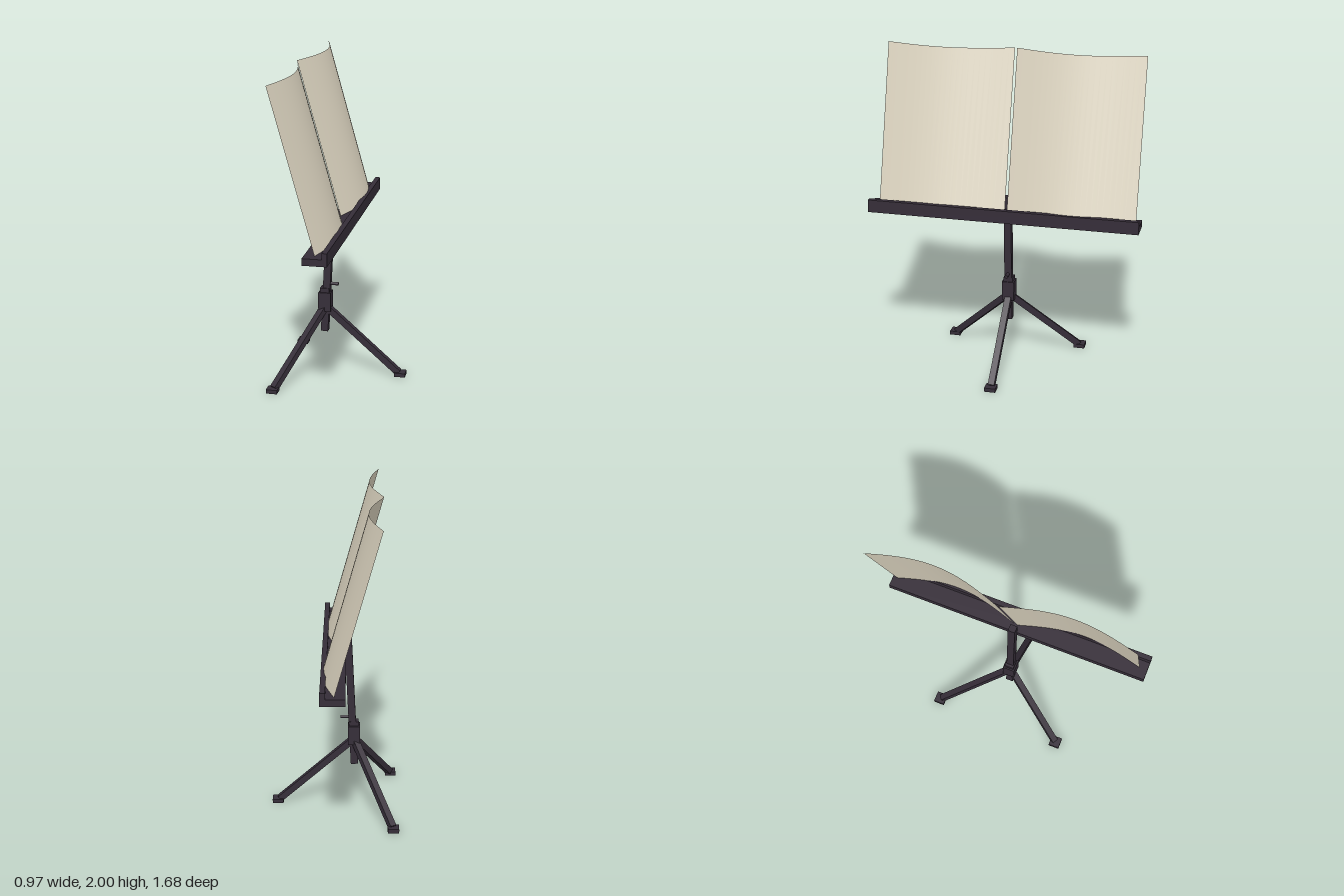
import * as THREE from 'three';

export function createModel() {
  const frame = new THREE.MeshStandardMaterial({ color: 0x352d38 });
  frame.name = 'dark frame';
  const paper = new THREE.MeshStandardMaterial({ color: 0xdcd4c0, side: THREE.DoubleSide });
  paper.name = 'cream paper';

  const model = new THREE.Group();
  model.name = 'musicStand';
  // The stand is turned away from the front; local +z is the reading side
  const stand = new THREE.Group();
  stand.name = 'stand';
  stand.rotation.y = THREE.MathUtils.degToRad(67.2);
  model.add(stand);

  function box(name, w, h, d, x, y, z) {
    const mesh = new THREE.Mesh(new THREE.BoxGeometry(w, h, d), frame);
    mesh.name = name;
    mesh.position.set(x, y, z);
    stand.add(mesh);
    return mesh;
  }

  // Square bar between two points
  function bar(name, from, to, size) {
    const mid = from.clone().add(to).multiplyScalar(0.5);
    const mesh = box(name, size, size, from.distanceTo(to), mid.x, mid.y, mid.z);
    const dir = to.clone().sub(from).normalize();
    const side = new THREE.Vector3(1, 0, 0);
    if (Math.abs(dir.y) < 0.9) side.set(dir.z, 0, -dir.x).normalize();
    side.addScaledVector(dir, -side.dot(dir)).normalize();
    mesh.quaternion.setFromRotationMatrix(
      new THREE.Matrix4().makeBasis(side, dir.clone().cross(side), dir));
    return mesh;
  }

  const cx = 0.01, cz = -0.034;

  // Slightly leaning post, hub, collar and clamp knob
  bar('post', new THREE.Vector3(cx, 0.27, -0.037), new THREE.Vector3(cx, 1.11, 0.003), 0.046);
  box('hub', 0.078, 0.125, 0.078, cx, 0.47, cz);
  box('collar', 0.06, 0.03, 0.06, cx, 0.545, cz);
  const knob = new THREE.Mesh(new THREE.CylinderGeometry(0.011, 0.011, 0.06, 8), frame);
  knob.name = 'knob';
  knob.rotation.x = Math.PI / 2;
  knob.position.set(cx, 0.587, 0.02);
  stand.add(knob);

  // Three legs with flat feet
  for (let i = 0; i < 3; i++) {
    const a = (i * 2 * Math.PI) / 3;
    const at = (r, y) => new THREE.Vector3(cx + r * Math.sin(a), y, cz + r * Math.cos(a));
    bar('leg', at(0.02, 0.42), at(0.475, 0.02), 0.04);
    const foot = at(0.487, 0.0125);
    box('foot', 0.07, 0.025, 0.07, foot.x, foot.y, foot.z);
  }

  // Tray with raised front lip
  box('trayFloor', 1.7, 0.042, 0.147, 0, 1.011, 0.0885);
  box('trayLip', 1.7, 0.08, 0.032, 0, 1.03, 0.146);

  // Open pages, bowed towards the reader and leaning back
  function page(name, spineX, edgeX, bow) {
    const geo = new THREE.PlaneGeometry(1, 1, 24, 1);
    const p = geo.attributes.position;
    const flip = edgeX < spineX;
    for (let i = 0; i < p.count; i++) {
      const s = p.getX(i) + 0.5, v = p.getY(i) + 0.5;
      const t = flip ? 1 - s : s;
      const z = 0.061 + 0.018 * t + bow * Math.sin(Math.PI * t) - 0.272 * v;
      p.setXYZ(i, spineX + (edgeX - spineX) * t, 1.034 + 0.966 * v, z);
    }
    geo.computeVertexNormals();
    const mesh = new THREE.Mesh(geo, paper);
    mesh.name = name;
    stand.add(mesh);
  }
  page('rightPage', 0.017, 0.822, 0.085);
  page('leftPage', 0.003, -0.8, 0.073);

  return model;
}
